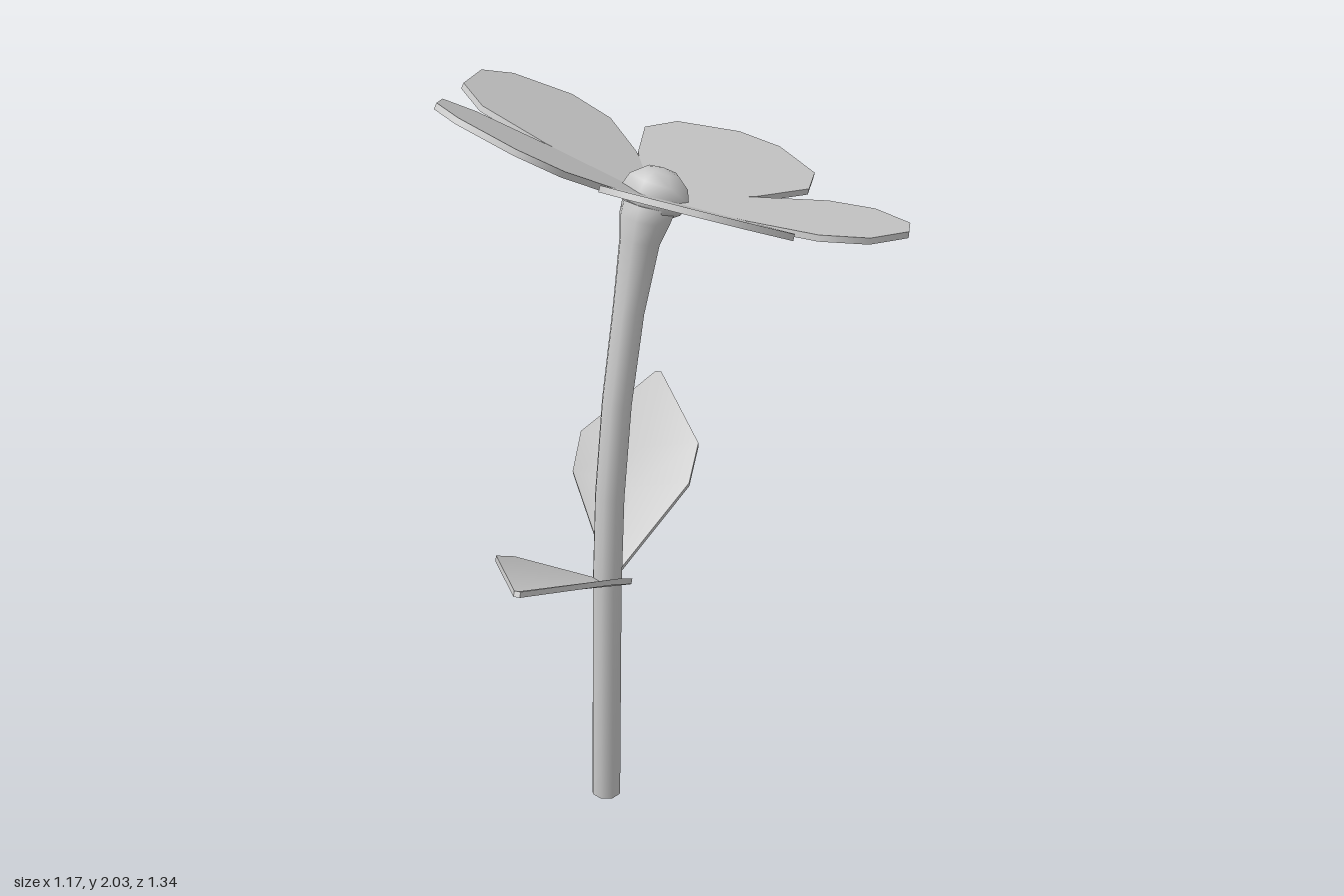
import * as THREE from 'three';
import { toCreasedNormals } from 'three/addons/utils/BufferGeometryUtils.js';

const grey = new THREE.MeshStandardMaterial({ color: 0xcccccc });
const rad = THREE.MathUtils.degToRad;

// Skin a list of equal-sized rings (counterclockwise about the loft direction) and cap both ends
function loft(rings) {
  const n = rings[0].length, last = (rings.length - 1) * n;
  const index = [];
  for (let i = 0; i < rings.length - 1; i++) {
    for (let j = 0; j < n; j++) {
      const a = i * n + j, b = i * n + (j + 1) % n;
      index.push(a, b, b + n, a, b + n, a + n);
    }
  }
  for (let j = 1; j < n - 1; j++) {
    index.push(0, j + 1, j, last, last + j, last + j + 1);
  }
  const geo = new THREE.BufferGeometry();
  geo.setAttribute('position', new THREE.Float32BufferAttribute(rings.flat(2), 3));
  geo.setIndex(index);
  return toCreasedNormals(geo, 1.0);
}

// Thin blade along +z; rows are [distance, half width, lift of the edges above the rib]
function blade(rows, t) {
  return loft(rows.map(([z, w, lift]) => [
    [w, lift + t, z], [0, t, z], [-w, lift + t, z],
    [-w, lift - t, z], [0, -t, z], [w, lift - t, z],
  ]));
}

function place(parent, geo, name, position, yaw, rise) {
  const mesh = new THREE.Mesh(geo, grey);
  mesh.name = name;
  mesh.position.set(...position);
  mesh.rotation.set(-rad(rise), rad(yaw), 0, 'YXZ');
  parent.add(mesh);
}

export function createModel() {
  const plant = new THREE.Group();
  plant.name = 'flowerPlant';

  // Stem: rows of [y, z, radius, backward tilt in degrees]
  const sides = 8;
  const stemRows = [
    [0, 0.115, 0.04, 0], [0.65, 0.108, 0.04, 2], [0.92, 0.097, 0.04, 5],
    [1.18, 0.07, 0.04, 9], [1.42, 0.028, 0.042, 12], [1.6, -0.012, 0.053, 16],
    [1.65, -0.028, 0.066, 20], [1.685, -0.045, 0.07, 20],
  ];
  const stem = new THREE.Mesh(loft(stemRows.map(([y, z, r, tilt]) =>
    Array.from({ length: sides }, (_, j) => {
      const a = ((j + 0.5) / sides) * Math.PI * 2, t = rad(tilt);
      return [
        0.04 + r * Math.sin(a),
        y + r * Math.cos(a) * Math.sin(t),
        z + r * Math.cos(a) * Math.cos(t),
      ];
    }))), grey);
  stem.name = 'stem';
  plant.add(stem);

  // Two leaves folded along the rib
  const leaf = blade([
    [0, 0.018, 0.005], [0.27, 0.157, 0.045], [0.4, 0.16, 0.05], [0.665, 0.008, 0],
  ], 0.007);
  place(plant, leaf, 'frontLeaf', [0.04, 0.665, 0.125], 24, 28.5);
  place(plant, leaf, 'backLeaf', [0.03, 0.675, 0.075], 212, 24);

  // Flower head leaning backward
  const head = new THREE.Group();
  head.name = 'flowerHead';
  head.position.set(0.04, 1.69, -0.06);
  head.rotation.set(rad(-20.3), 0, rad(-3.5));
  plant.add(head);

  // Five cupped petals
  const petal = blade([
    [0, 0.025, 0], [0.245, 0.17, 0], [0.42, 0.24, 0], [0.54, 0.203, 0], [0.63, 0.06, 0],
  ], 0.008);
  for (let i = 0; i < 5; i++) {
    place(head, petal, `petal${i + 1}`, [0, 0, 0], 197.5 + 72 * i, 11);
  }

  // Domed centre
  const centre = new THREE.Mesh(new THREE.SphereGeometry(0.088, 7, 6), grey);
  centre.name = 'flowerCentre';
  centre.scale.y = 0.75;
  centre.position.y = 0.02;
  head.add(centre);

  return plant;
}
